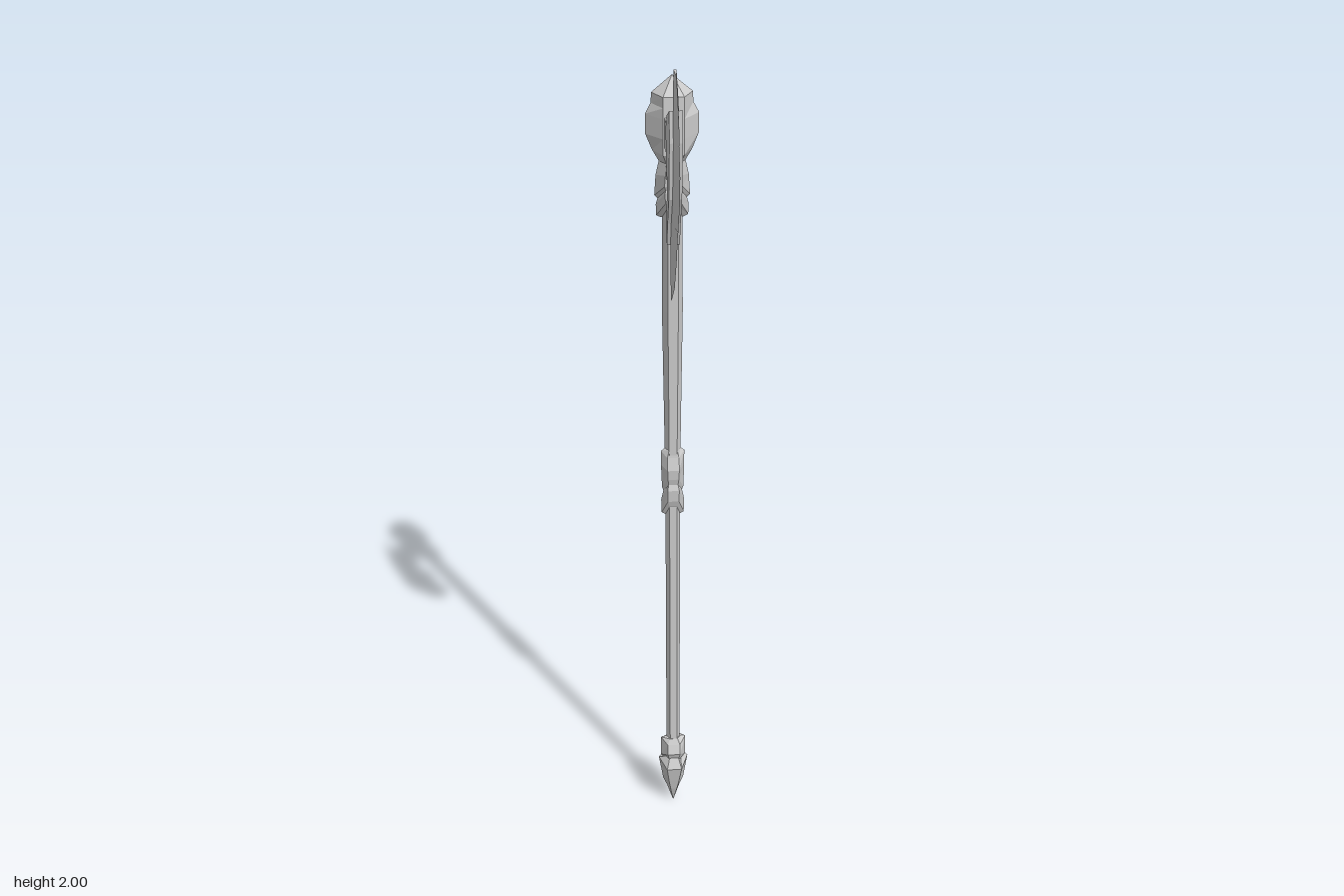
import * as THREE from 'three';

const AXIS_Z = -0.111;
const BLADE_X = -0.0085;
const grey = new THREE.MeshStandardMaterial({ color: 0xcccccc, flatShading: true });

function meshFrom(name, positions) {
  const g = new THREE.BufferGeometry();
  g.setAttribute('position', new THREE.Float32BufferAttribute(positions.flat(), 3));
  g.computeVertexNormals();
  const m = new THREE.Mesh(g, grey);
  m.name = name;
  return m;
}

// Six-sided loft, rings from bottom to top: [y, xHalf, zHalf, dip of the side corners, x of the front/back corners]
function hexLoft(name, rings) {
  const rows = rings.map(([y, xr, zr, dip = 0, xw = xr / 2]) => [
    [xr, y - dip, 0], [xw, y, -zr], [-xw, y, -zr], [-xr, y - dip, 0], [-xw, y, zr], [xw, y, zr],
  ]);
  const tris = [];
  for (let r = 0; r + 1 < rows.length; r++) {
    for (let i = 0; i < 6; i++) {
      const j = (i + 1) % 6;
      const [a, b, c, d] = [rows[r][i], rows[r][j], rows[r + 1][j], rows[r + 1][i]];
      tris.push(a, b, c, a, c, d);
    }
  }
  const low = rows[0], top = rows[rows.length - 1];
  for (let i = 1; i < 5; i++) {
    tris.push(low[0], low[i + 1], low[i], top[0], top[i], top[i + 1]);
  }
  const m = meshFrom(name, tris.flat());
  m.position.z = AXIS_Z;
  return m;
}

// Flat plate from a side outline of [z, y] points
function plate(name, outline, width) {
  const shape = new THREE.Shape(outline.map(([z, y]) => new THREE.Vector2(z, y)));
  const g = new THREE.ExtrudeGeometry(shape, { depth: width, bevelEnabled: false });
  g.translate(0, 0, -width / 2);
  g.rotateY(-Math.PI / 2);
  const m = new THREE.Mesh(g, grey);
  m.name = name;
  m.position.x = BLADE_X;
  return m;
}

// Wedge-shaped blade, stations from top to bottom: [edge z, edge y, spine z, spine y, spine half width]
function wedgeBlade(name, stations) {
  const rows = stations.map(([ez, ey, sz, sy, h]) => ({ e: [0, ey, ez], l: [h, sy, sz], r: [-h, sy, sz] }));
  const tris = [rows[0].e, rows[0].l, rows[0].r];
  for (let i = 0; i + 1 < rows.length; i++) {
    const a = rows[i], b = rows[i + 1];
    tris.push(a.e, b.e, b.l, a.e, b.l, a.l);
    tris.push(a.e, b.r, b.e, a.e, a.r, b.r);
    tris.push(a.l, b.l, b.r, a.l, b.r, a.r);
  }
  const m = meshFrom(name, tris.flat());
  m.position.x = BLADE_X;
  return m;
}

export function createModel() {
  const model = new THREE.Group();
  model.name = 'poleaxe';

  // Shaft, thicker towards the head
  model.add(hexLoft('shaft', [
    [0.15, 0.017, 0.013], [0.95, 0.017, 0.013], [1.05, 0.018, 0.014],
    [1.2, 0.02, 0.016], [1.42, 0.023, 0.019], [1.72, 0.021, 0.021],
  ]));

  // Pommel: pointed foot with a chevron cuff above it
  model.add(hexLoft('pommelSpike', [
    [0, 0.001, 0.001], [0.05, 0.016, 0.018], [0.085, 0.026, 0.027, 0.01],
    [0.132, 0.037, 0.038, -0.015], [0.165, 0.02, 0.022, 0.02],
  ]));
  model.add(hexLoft('pommelCuff', [
    [0.14, 0.02, 0.018], [0.175, 0.031, 0.03, 0.02], [0.2, 0.031, 0.021, -0.012], [0.215, 0.02, 0.014],
  ]));

  // Grip collars in the middle of the shaft
  model.add(hexLoft('lowerGripCollar', [
    [0.92, 0.018, 0.015, 0.03], [0.935, 0.026, 0.02, 0.04],
    [0.965, 0.027, 0.022, 0.035], [0.985, 0.02, 0.015, 0.02],
  ]));
  model.add(hexLoft('upperGripCollar', [
    [0.97, 0.02, 0.015, 0.02], [0.995, 0.025, 0.021, 0.03],
    [1.02, 0.027, 0.023, -0.005], [1.05, 0.027, 0.015, -0.012], [1.07, 0.018, 0.012],
  ]));

  // Stepped chevron collars under the head
  model.add(hexLoft('lowerNeckCollar', [
    [1.665, 0.024, 0.021, 0.03], [1.675, 0.034, 0.027, 0.035],
    [1.7, 0.035, 0.03, 0.035], [1.72, 0.025, 0.024, 0.02],
  ]));
  model.add(hexLoft('upperNeckCollar', [
    [1.695, 0.028, 0.025, 0.02], [1.715, 0.038, 0.033, 0.03],
    [1.74, 0.035, 0.035, 0.01], [1.77, 0.026, 0.025],
  ]));

  // Head block with side bulges and a pointed cap
  model.add(hexLoft('head', [
    [1.757, 0.026, 0.022], [1.785, 0.042, 0.039, 0, 0.022], [1.82, 0.056, 0.04, 0, 0.022],
    [1.862, 0.056, 0.04, 0, 0.022], [1.885, 0.044, 0.039, 0, 0.022],
    [1.907, 0.043, 0.038, 0, 0.022], [1.942, 0.001, 0.001],
  ]));

  // Arm joining the head to the blade, and the curved brace under it
  model.add(plate('bladeArm', [
    [-0.1, 1.865], [-0.1, 1.802], [0.005, 1.802], [0.005, 1.868], [-0.03, 1.865],
  ], 0.021));
  model.add(plate('brace', [
    [-0.015, 1.815], [-0.035, 1.815], [-0.043, 1.782], [-0.055, 1.765], [-0.1, 1.755],
    [-0.1, 1.732], [-0.06, 1.737], [-0.036, 1.757], [-0.022, 1.785],
  ], 0.015));

  // Thick body of the blade
  model.add(plate('bladeBody', [
    [0.063, 1.925], [0.066, 1.86], [0.058, 1.795], [0.05, 1.737], [0.022, 1.675], [0.004, 1.62],
    [-0.008, 1.64], [-0.01, 1.675], [0.008, 1.725], [0.01, 1.765], [-0.012, 1.805],
    [-0.013, 1.868], [0.012, 1.9],
  ], 0.027));

  // Sharpened outer edge with two notches
  model.add(wedgeBlade('bladeEdge', [
    [0.074, 1.995, 0.042, 2.0, 0.003],
    [0.1, 1.958, 0.054, 1.955, 0.005],
    [0.123, 1.915, 0.06, 1.925, 0.006],
    [0.13, 1.905, 0.061, 1.905, 0.006],
    [0.127, 1.875, 0.063, 1.87, 0.006],
    [0.148, 1.82, 0.056, 1.8, 0.006],
    [0.138, 1.757, 0.047, 1.74, 0.006],
    [0.116, 1.708, 0.034, 1.705, 0.006],
    [0.114, 1.692, 0.03, 1.69, 0.006],
    [0.102, 1.688, 0.022, 1.675, 0.006],
    [0.079, 1.62, 0.004, 1.62, 0.006],
    [0.055, 1.575, -0.01, 1.59, 0.005],
    [0.032, 1.534, -0.022, 1.548, 0.004],
    [-0.034, 1.476, -0.037, 1.478, 0.001],
  ]));

  return model;
}
